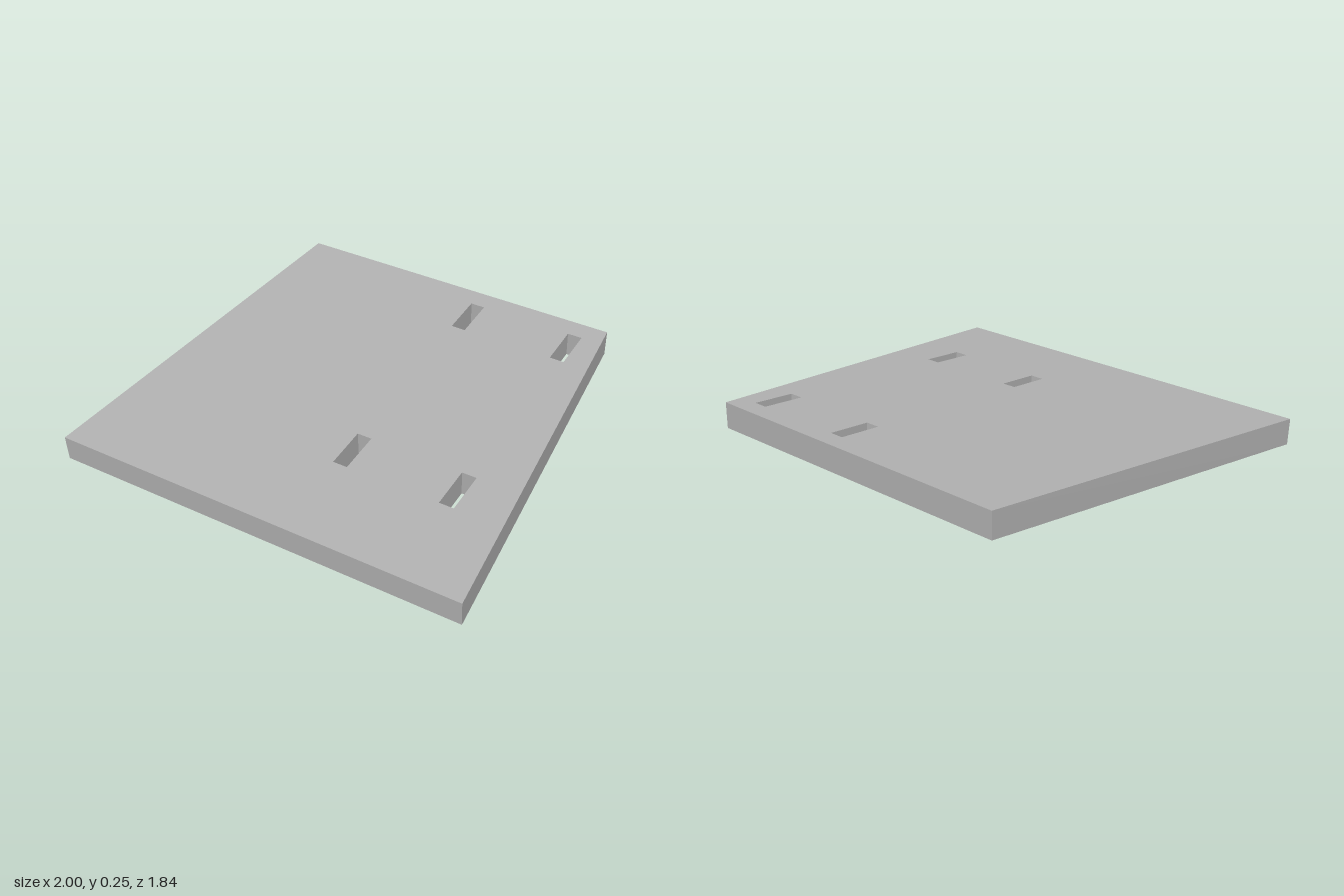
import * as THREE from 'three';

const TILT = Math.atan2(0.13, 1.84); // slab rises toward the back
const FRONT = 0.92, BACK = -0.92, THICK = 0.125;

export function createModel() {
  const group = new THREE.Group();
  group.name = 'slottedRamp';
  const grey = new THREE.MeshStandardMaterial({ color: 0xb2b2b2 });
  grey.name = 'grey';

  // distance up the slope from the front edge
  const s = (z) => (FRONT - z) / Math.cos(TILT);

  // tapered outline, narrower at the back
  const outline = new THREE.Shape([
    new THREE.Vector2(-1, s(FRONT)),
    new THREE.Vector2(1, s(FRONT)),
    new THREE.Vector2(0.82, s(BACK)),
    new THREE.Vector2(-0.82, s(BACK)),
  ]);

  // four through slots on the left half
  for (const x of [0.14, 0.66]) {
    for (const z of [0.48, -0.615]) {
      const a = s(z), b = s(z - 0.207);
      outline.holes.push(new THREE.Path([
        new THREE.Vector2(x, a),
        new THREE.Vector2(x, b),
        new THREE.Vector2(x + 0.07, b),
        new THREE.Vector2(x + 0.07, a),
      ]));
    }
  }

  const geo = new THREE.ExtrudeGeometry(outline, { depth: THICK, bevelEnabled: false });
  geo.translate(0, 0, -THICK);
  geo.rotateX(-Math.PI / 2 + TILT);
  geo.translate(0, 0.125, FRONT);

  // slide the rear end along the slope so its face is vertical
  const p = geo.attributes.position;
  for (let i = 0; i < p.count; i++) {
    const dz = BACK - p.getZ(i);
    if (p.getZ(i) < -0.9) {
      p.setZ(i, BACK);
      p.setY(i, p.getY(i) - dz * Math.tan(TILT));
    }
  }
  geo.computeVertexNormals();

  const slab = new THREE.Mesh(geo, grey);
  slab.name = 'slottedSlab';
  group.add(slab);
  return group;
}
